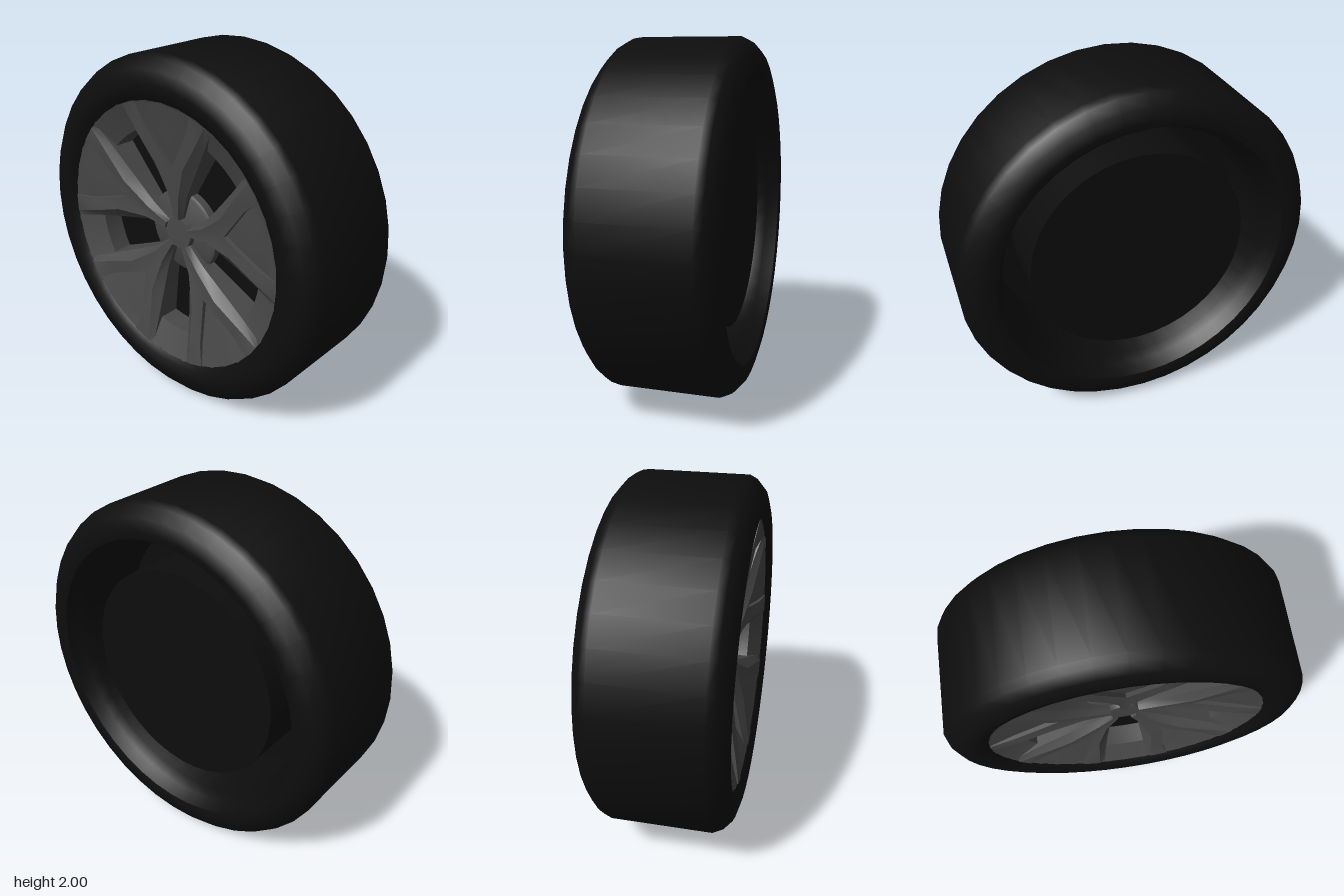
import * as THREE from 'three';
import { toCreasedNormals } from 'three/addons/utils/BufferGeometryUtils.js';

const paint = (name, color) => {
  const m = new THREE.MeshStandardMaterial({ color });
  m.name = name;
  return m;
};

// Profile of [radius, z] points turned around the z axis
function turned(points, segments, crease = 0.6) {
  const g = new THREE.LatheGeometry(points.map(([r, z]) => new THREE.Vector2(r, z)), segments);
  g.rotateX(Math.PI / 2);
  return toCreasedNormals(g, crease);
}

// Half of a forked spoke, pointing along +y. Each station runs from the
// window edge over the crest and the inner edge to the sunken middle panel.
const stations = [
  { edge: [0.025, 0.088, 0.235], crest: [0.017, 0.09, 0.265], inner: [0, 0.09, 0.265], drop: 0, mid: [0, 0.09, 0.265] },
  { edge: [0.065, 0.23, 0.245], crest: [0.035, 0.23, 0.28], inner: [0, 0.23, 0.275], drop: 0, mid: [0, 0.23, 0.275] },
  { edge: [0.16, 0.4, 0.275], crest: [0.105, 0.42, 0.315], inner: [0, 0.395, 0.295], drop: 0.025, mid: [0, 0.395, 0.27] },
  { edge: [0.247, 0.55, 0.305], crest: [0.215, 0.575, 0.34], inner: [0.15, 0.62, 0.335], drop: 0.022, mid: [0, 0.6, 0.322] },
  { edge: [0.332, 0.69, 0.342], crest: [0.3, 0.704, 0.356], inner: [0.2, 0.738, 0.356], drop: 0.006, mid: [0, 0.765, 0.352] },
];

function spokeGeometry() {
  const pos = [];
  const rows = stations.map(({ edge, crest, inner, drop, mid }) => [
    [edge[0], edge[1], 0.15], edge, crest, inner,
    [inner[0], inner[1], inner[2] - drop], mid,
  ]);
  for (const side of [1, -1]) {
    const tri = (a, b, c) => {
      for (const p of side > 0 ? [a, b, c] : [a, c, b]) pos.push(p[0] * side, p[1], p[2]);
    };
    for (let i = 0; i < rows.length - 1; i++) {
      for (let j = 0; j < rows[i].length - 1; j++) {
        const a = rows[i][j], b = rows[i][j + 1], c = rows[i + 1][j + 1], d = rows[i + 1][j];
        tri(a, d, c);
        tri(a, c, b);
      }
    }
    // Blunt end facing the hub
    const [low, edge, crest, inner] = rows[0];
    const foot = [0, 0.09, 0.15];
    tri(foot, low, edge);
    tri(foot, edge, crest);
    tri(foot, crest, inner);
  }
  const g = new THREE.BufferGeometry();
  g.setAttribute('position', new THREE.Float32BufferAttribute(pos, 3));
  return toCreasedNormals(g, 0.5);
}

export function createModel() {
  const rubber = paint('black rubber', 0x0d0d0d);
  const alloy = paint('dark grey alloy', 0x484848);
  const wheel = new THREE.Group();
  wheel.name = 'wheel';
  const add = (name, geometry, material, parent = wheel) => {
    const mesh = new THREE.Mesh(geometry, material);
    mesh.name = name;
    parent.add(mesh);
    return mesh;
  };

  // Tyre with rounded shoulders, open barrel at the back
  add('tyre', turned([
    [0.76, -0.25], [0.79, -0.3], [0.82, -0.375], [0.86, -0.385], [0.93, -0.365], [0.98, -0.32], [1, -0.28],
    [1, 0.28], [0.98, 0.32], [0.93, 0.365], [0.86, 0.385], [0.8, 0.375], [0.768, 0.35],
    [0.76, 0.2], [0.76, -0.25],
  ], 40), rubber);

  // Dark drum behind the spokes and the plate closing the barrel
  add('innerDrum', turned([[0, -0.27], [0.62, -0.27], [0.62, 0.16], [0, 0.16]], 40), rubber);
  add('barrelPlate', turned([[0.6, 0.14], [0.77, 0.14]], 40), rubber);

  // Outer rim ring seen at the ends of the windows
  add('rimRing', turned([[0.61, 0.15], [0.765, 0.15], [0.772, 0.352], [0.757, 0.345], [0.61, 0.28], [0.61, 0.15]], 60), alloy);

  // Hub flange and centre cap
  add('hubFlange', turned([[0.24, 0.15], [0.24, 0.205], [0.225, 0.215], [0, 0.225]], 40), alloy);
  add('centreCap', turned([[0.1, 0.2], [0.092, 0.25], [0, 0.252]], 20), alloy);

  // Five forked spokes
  const spokes = new THREE.Group();
  spokes.name = 'spokes';
  wheel.add(spokes);
  const spoke = spokeGeometry();
  for (let i = 0; i < 5; i++) {
    add('spoke', spoke, alloy, spokes).rotation.z = (i * Math.PI * 2) / 5;
  }

  wheel.position.y = 1;
  const model = new THREE.Group();
  model.add(wheel);
  return model;
}
